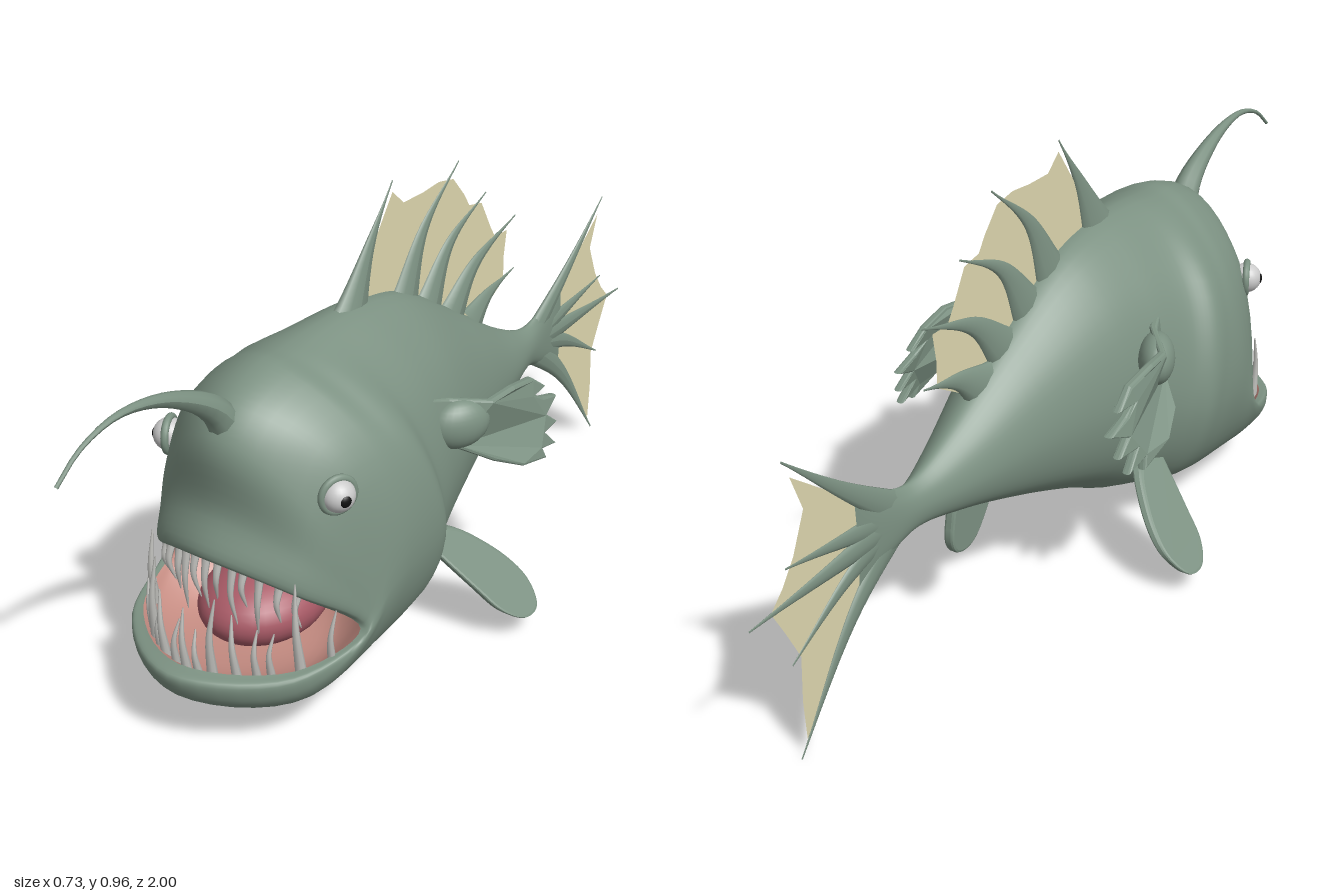
import * as THREE from 'three';

const mat = (color, side = THREE.FrontSide) => new THREE.MeshStandardMaterial({ color, side, roughness: 0.7 });
const V = (p) => new THREE.Vector3(...p);

// Closed ring from five half-outline points: top, upper, side, lower, bottom
function ring(half) {
  const mirrored = half.slice(1, 4).reverse().map(([x, y, z]) => [-x, y, z]);
  return new THREE.CatmullRomCurve3([...half, ...mirrored].map(V), true);
}

// Upright ring: position, top, bottom, half width, height of widest point, upper fullness, forward lean of the top
function section(z, top, bot, w, mid, full = 0.7, lean = 0) {
  return [[0, top, z + lean], [full * w, mid + 0.65 * (top - mid), z + 0.55 * lean], [w, mid, z],
    [0.72 * w, mid - 0.72 * (mid - bot), z], [0, bot, z]];
}

// Smooth skin through a list of rings
function loft(halves, cols = 56, steps = 6) {
  const rings = halves.map(ring), rows = (rings.length - 1) * steps;
  const pos = [], idx = [], columns = [];
  for (let i = 0; i < cols; i++) columns.push(new THREE.CatmullRomCurve3(rings.map((r) => r.getPoint(i / cols))));
  for (let j = 0; j <= rows; j++) for (const c of columns) pos.push(...c.getPoint(j / rows).toArray());
  for (let j = 0; j < rows; j++) for (let i = 0; i < cols; i++) {
    const n = (i + 1) % cols, a = j * cols + i, b = a + cols, c = j * cols + n, d = c + cols;
    idx.push(a, b, c, b, d, c);
  }
  const g = new THREE.BufferGeometry();
  g.setAttribute('position', new THREE.Float32BufferAttribute(pos, 3));
  g.setIndex(idx);
  g.computeVertexNormals();
  return g;
}

// Tube along a curve, thinning from r0 to r1, optionally flattened sideways
function taper(points, r0, r1, power = 1, flat = 1, sides = 10) {
  const curve = new THREE.CatmullRomCurve3(points.map(V)), n = 20;
  const g = new THREE.TubeGeometry(curve, n, 1, sides), p = g.attributes.position, v = new THREE.Vector3();
  for (let i = 0; i < p.count; i++) {
    const t = Math.floor(i / (sides + 1)) / n, c = curve.getPointAt(t);
    v.fromBufferAttribute(p, i).sub(c).multiplyScalar(r1 + (r0 - r1) * Math.pow(1 - t, power)).add(c);
    p.setXYZ(i, v.x * flat, v.y, v.z);
  }
  g.computeVertexNormals();
  return g;
}

// Thin sheet drawn in the z-y plane
function sheet(points) {
  return new THREE.ShapeGeometry(new THREE.Shape(points.map((p) => new THREE.Vector2(...p)))).rotateY(-Math.PI / 2);
}

// Rounded fleshy fin drawn in the z-y plane, then shifted sideways by a rule
function paddle(points, depth, shift, smooth = true) {
  const pts = points.map((p) => new THREE.Vector2(...p)), s = new THREE.Shape();
  if (smooth) {
    s.moveTo(...points[0]);
    s.splineThru([...pts.slice(1), pts[0]]);
  } else s.setFromPoints(pts);
  const g = new THREE.ExtrudeGeometry(s, { depth, curveSegments: 40, bevelSize: 0.006, bevelThickness: 0.006, bevelSegments: 2 });
  g.translate(0, 0, -depth / 2).rotateY(-Math.PI / 2);
  const p = g.attributes.position;
  for (let i = 0; i < p.count; i++) p.setX(i, p.getX(i) + shift(p.getZ(i), p.getY(i)));
  g.computeVertexNormals();
  return g;
}

export function createModel() {
  const root = new THREE.Group();
  const skin = mat(0x7c9182), finSkin = mat(0x7c9182, THREE.DoubleSide), web = mat(0xddd6ae, THREE.DoubleSide);
  const flesh = mat(0xc58c82, THREE.DoubleSide), tongueMat = mat(0xa85a66), ivory = mat(0xbcbcb8);
  const white = mat(0xd6d6d6), black = mat(0x111111);
  const add = (name, geo, m, parent = root) => {
    const mesh = new THREE.Mesh(geo, m);
    mesh.name = name;
    parent.add(mesh);
    return mesh;
  };
  const group = (name) => {
    const g = new THREE.Group();
    g.name = name;
    root.add(g);
    return g;
  };

  // Body from tail root to the lips
  const innerLip = [[0, 0.368, 0.62], [0.16, 0.325, 0.57], [0.243, 0.23, 0.475], [0.195, 0.195, 0.62], [0, 0.2, 0.735]];
  add('body', loft([
    section(-0.69, 0.48, 0.265, 0.004, 0.37),
    section(-0.6, 0.45, 0.3, 0.016, 0.37),
    section(-0.52, 0.43, 0.325, 0.03, 0.375),
    section(-0.4, 0.475, 0.305, 0.065, 0.38),
    section(-0.2, 0.6, 0.24, 0.125, 0.4),
    section(0, 0.715, 0.16, 0.185, 0.4),
    section(0.1, 0.745, 0.11, 0.213, 0.38, 0.72, 0.05),
    section(0.18, 0.745, 0.085, 0.242, 0.35, 0.75, 0.11),
    section(0.22, 0.738, 0.075, 0.272, 0.34, 0.79, 0.14),
    section(0.28, 0.735, 0.06, 0.277, 0.33, 0.78, 0.12),
    [[0, 0.735, 0.45], [0.205, 0.6, 0.4], [0.277, 0.32, 0.36], [0.195, 0.115, 0.4], [0, 0.05, 0.45]],
    [[0, 0.69, 0.56], [0.188, 0.585, 0.48], [0.272, 0.3, 0.41], [0.2, 0.11, 0.52], [0, 0.063, 0.6]],
    [[0, 0.62, 0.61], [0.18, 0.5, 0.54], [0.268, 0.27, 0.44], [0.205, 0.125, 0.6], [0, 0.1, 0.7]],
    [[0, 0.48, 0.61], [0.175, 0.42, 0.565], [0.262, 0.25, 0.46], [0.208, 0.155, 0.635], [0, 0.145, 0.755]],
    [[0, 0.395, 0.645], [0.17, 0.345, 0.588], [0.255, 0.235, 0.47], [0.206, 0.188, 0.64], [0, 0.192, 0.768]],
    innerLip,
  ]), skin);

  // Mouth lining and tongue
  add('mouthLining', loft([
    innerLip,
    [[0, 0.375, 0.57], [0.155, 0.32, 0.53], [0.235, 0.23, 0.45], [0.185, 0.165, 0.58], [0, 0.155, 0.68]],
    [[0, 0.38, 0.45], [0.14, 0.33, 0.43], [0.2, 0.24, 0.4], [0.15, 0.14, 0.45], [0, 0.12, 0.5]],
    [[0, 0.33, 0.33], [0.08, 0.3, 0.33], [0.12, 0.24, 0.33], [0.08, 0.18, 0.33], [0, 0.15, 0.33]],
    [[0, 0.242, 0.3], [0.002, 0.241, 0.3], [0.003, 0.24, 0.3], [0.002, 0.239, 0.3], [0, 0.238, 0.3]],
  ]), flesh);
  const tongue = add('tongue', new THREE.SphereGeometry(1, 32, 20), tongueMat);
  tongue.scale.set(0.125, 0.08, 0.15);
  tongue.position.set(0, 0.215, 0.47);

  // Teeth: [x, length] along each jaw
  const teeth = group('teeth');
  const lower = [[-0.205, 0.16], [-0.175, 0.08], [-0.135, 0.11], [-0.113, 0.185], [-0.085, 0.09], [-0.06, 0.14], [-0.025, 0.1],
    [0.003, 0.13], [0.03, 0.09], [0.058, 0.17], [0.1, 0.13], [0.13, 0.1], [0.15, 0.09], [0.188, 0.185], [0.225, 0.12]];
  lower.forEach(([x, h], i) => {
    const z = 0.715 - 3.4 * x * x, lean = 0.012 * Math.sin(i * 2.3);
    add('lowerTooth', taper([[x, 0.175, z], [x + lean * 0.3, 0.185 + h * 0.5, z + 0.008], [x + lean, 0.185 + h, z - 0.004]],
      0.006 + h * 0.03, 0.0012, 0.8, 1, 8), ivory, teeth);
  });
  const upper = [[-0.165, 0.05], [-0.14, 0.07], [-0.1, 0.09], [-0.075, 0.13], [-0.045, 0.09], [-0.015, 0.11],
    [0.015, 0.08], [0.047, 0.12], [0.07, 0.07], [0.1, 0.12], [0.135, 0.07], [0.165, 0.06]];
  upper.forEach(([x, h], i) => {
    const y = 0.38 - 1.9 * x * x, z = 0.622 - 1.9 * x * x, lean = 0.008 * Math.sin(i * 1.9);
    add('upperTooth', taper([[x, y, z], [x, y - h * 0.5, z + 0.01], [x + lean, y - 0.01 - h, z]],
      0.009, 0.001, 0.8, 1, 8), ivory, teeth);
  });

  // Lure stalk on the forehead
  add('lure', taper([[0, 0.62, 0.55], [0, 0.685, 0.59], [0, 0.73, 0.65], [0, 0.773, 0.75], [0, 0.785, 0.85],
    [0, 0.76, 0.94], [0, 0.715, 1]], 0.04, 0.004, 2.2), skin);

  // Eyes
  for (const s of [1, -1]) {
    const eye = group(s > 0 ? 'leftEye' : 'rightEye');
    eye.position.set(s * 0.209, 0.53, 0.495);
    eye.rotation.y = s * 1.15;
    add('eyeball', new THREE.SphereGeometry(0.034, 24, 16), white, eye);
    const pupil = add('pupil', new THREE.SphereGeometry(0.014, 16, 12), black, eye);
    pupil.position.z = 0.027;
    pupil.scale.z = 0.65;
    add('eyelid', new THREE.TorusGeometry(0.035, 0.008, 10, 32), skin, eye);
  }

  // Dorsal fin: webbing with curved spines, each as [z, y] base, middle and tip
  const dorsal = group('dorsalFin');
  add('dorsalWeb', sheet([[0.13, 0.72], [0.1, 0.83], [0.02, 0.94], [-0.02, 0.905], [-0.09, 0.905], [-0.15, 0.91], [-0.205, 0.9],
    [-0.25, 0.85], [-0.27, 0.82], [-0.32, 0.81], [-0.36, 0.74], [-0.38, 0.71], [-0.43, 0.71], [-0.42, 0.65], [-0.42, 0.59],
    [-0.3, 0.52], [-0.1, 0.64]]), web, dorsal);
  const spines = [[0.17, 0.72, 0.1, 0.85, 0.02, 0.965], [-0.01, 0.67, -0.09, 0.82, -0.225, 0.935], [-0.1, 0.63, -0.19, 0.755, -0.337, 0.83],
    [-0.19, 0.575, -0.29, 0.67, -0.465, 0.735], [-0.27, 0.53, -0.35, 0.575, -0.465, 0.605]];
  for (const [z0, y0, z1, y1, z2, y2] of spines) {
    add('dorsalSpine', taper([[0, y0, z0], [0, y1, z1], [0, y2, z2]], 0.055, 0.002, 1.8, 0.45), skin, dorsal);
  }

  // Tail fin: webbing with five rays
  const tail = group('tailFin');
  add('tailWeb', sheet([[-0.6, 0.4], [-0.68, 0.47], [-0.86, 0.61], [-0.83, 0.53], [-0.865, 0.45], [-0.9, 0.4], [-0.935, 0.365],
    [-0.9, 0.3], [-0.865, 0.23], [-0.87, 0.13], [-0.865, 0.04], [-0.68, 0.27], [-0.6, 0.34]]), web, tail);
  for (const [z, y, mid] of [[-0.88, 0.65, 0.505], [-0.89, 0.435, 0.405], [-0.995, 0.362, 0.367], [-0.89, 0.225, 0.325], [-0.885, 0.005, 0.235]]) {
    add('tailRay', taper([[0, 0.375, -0.54], [0, mid, -0.71], [0, y, z]], 0.04, 0.002, 1.3, 0.4), skin, tail);
  }

  // Paired fins
  const pectoral = [[0.145, 0.565], [0.1, 0.555], [0.03, 0.54], [-0.04, 0.545], [-0.12, 0.53], [-0.165, 0.5], [-0.11, 0.5],
    [-0.15, 0.475], [-0.205, 0.46], [-0.15, 0.44], [-0.19, 0.41], [-0.13, 0.41], [-0.17, 0.37], [-0.11, 0.385], [-0.12, 0.36],
    [-0.03, 0.385], [0.04, 0.42], [0.1, 0.46], [0.14, 0.51]];
  const pelvic = [[0.14, 0.22], [0.105, 0.14], [0.08, 0.09], [0.035, 0.06], [-0.015, 0.065], [-0.033, 0.11], [0, 0.17], [0.07, 0.23]];
  for (const s of [1, -1]) {
    const side = group(s > 0 ? 'leftFins' : 'rightFins');
    side.scale.x = s;
    add('pectoralFin', paddle(pectoral, 0.008, (z, y) =>
      0.275 - 0.085 * THREE.MathUtils.smoothstep(z, 0, 0.14) + 0.22 * (0.47 - y) - 0.1 * Math.max(0, -z - 0.05), false), finSkin, side);
    const shoulder = add('pectoralRoot', new THREE.SphereGeometry(1, 24, 16), skin, side);
    shoulder.scale.set(0.04, 0.055, 0.07);
    shoulder.position.set(0.208, 0.5, 0.08);
    shoulder.rotation.y = -0.5;
    add('pelvicFin', paddle(pelvic, 0.012, (z, y) => 0.24 + 0.98 * (0.168 - y)), finSkin, side);
  }

  // Single fin under the tail
  add('analFin', paddle([[-0.25, 0.29], [-0.305, 0.215], [-0.345, 0.193], [-0.385, 0.205], [-0.393, 0.255], [-0.36, 0.33]],
    0.012, () => 0), finSkin);
  return root;
}
